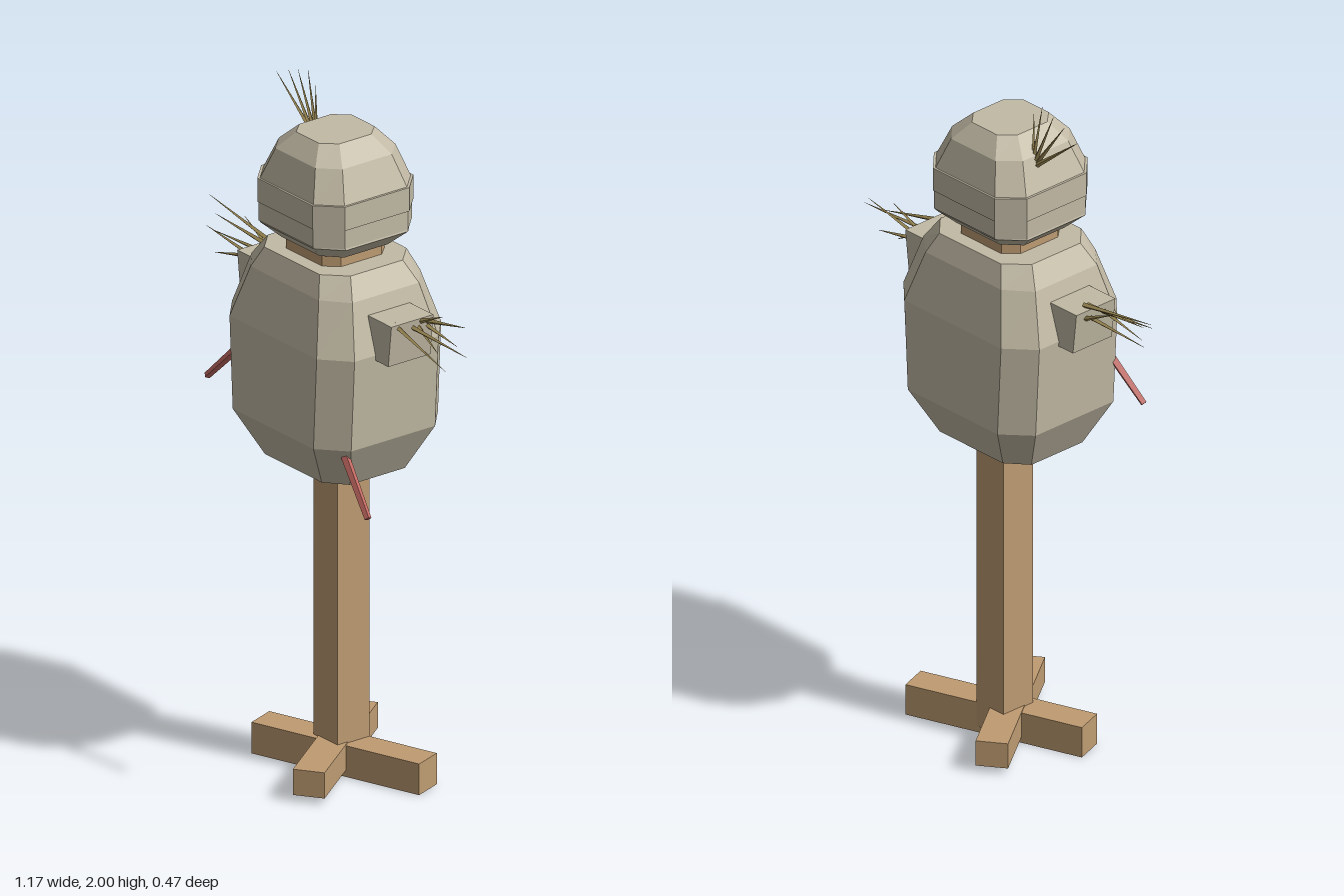
import * as THREE from 'three';

const mat = (name, color) => {
  const m = new THREE.MeshStandardMaterial({ color });
  m.name = name;
  m.flatShading = true;
  return m;
};

// Loft of chamfered rectangles: [y, halfX, halfZ, flatX, flatZ] per ring
function loft(rings) {
  const loops = rings.map(([y, hx, hz, fx, fz]) => [
    [fx, hz], [hx, fz], [hx, -fz], [fx, -hz], [-fx, -hz], [-hx, -fz], [-hx, fz], [-fx, hz],
  ].map(([x, z]) => [x, y, z]));
  const pos = [];
  const tri = (...p) => p.forEach(v => pos.push(...v));
  for (let r = 0; r < loops.length - 1; r++) {
    for (let i = 0; i < 8; i++) {
      const j = (i + 1) % 8, a = loops[r], b = loops[r + 1];
      tri(a[i], a[j], b[j]);
      tri(a[i], b[j], b[i]);
    }
  }
  const low = loops[0], top = loops[loops.length - 1];
  for (let i = 1; i < 7; i++) {
    tri(low[0], low[i + 1], low[i]);
    tri(top[0], top[i], top[i + 1]);
  }
  const g = new THREE.BufferGeometry();
  g.setAttribute('position', new THREE.Float32BufferAttribute(pos, 3));
  g.computeVertexNormals();
  return g;
}

export function createModel() {
  const root = new THREE.Group();
  root.name = 'scarecrowDummy';
  const sack = mat('sackcloth', 0xc2baa5);
  const wood = mat('wood', 0xbf9c72);
  const straw = mat('straw', 0xa8935a);
  const red = mat('redWood', 0xc46a64);

  const add = (name, geo, material, parent = root) => {
    const m = new THREE.Mesh(geo, material);
    m.name = name;
    parent.add(m);
    return m;
  };

  // Tapered stick between two points
  const stick = (name, from, to, r0, r1, sides, material, parent) => {
    const a = new THREE.Vector3(...from), b = new THREE.Vector3(...to);
    const dir = b.clone().sub(a);
    const m = add(name, new THREE.CylinderGeometry(r1, r0, dir.length(), sides), material, parent);
    m.position.copy(a).add(b).multiplyScalar(0.5);
    m.quaternion.setFromUnitVectors(new THREE.Vector3(0, 1, 0), dir.normalize());
  };

  // Post and crossed foot planks
  add('post', new THREE.BoxGeometry(0.107, 1.07, 0.11), wood).position.set(0.001, 0.555, -0.02);
  const plankA = add('footPlank', new THREE.BoxGeometry(0.54, 0.092, 0.09), wood);
  plankA.position.set(0.02, 0.047, -0.015);
  plankA.rotation.y = 0.34;
  const plankB = add('footPlank', new THREE.BoxGeometry(0.51, 0.076, 0.09), wood);
  plankB.position.set(0, 0.058, 0);
  plankB.rotation.y = -0.952;

  // Stuffed body
  add('body', loft([
    [0.925, 0.185, 0.145, 0.125, 0.095],
    [1.06, 0.255, 0.215, 0.178, 0.145],
    [1.33, 0.27, 0.215, 0.192, 0.145],
    [1.48, 0.222, 0.175, 0.15, 0.115],
    [1.54, 0.182, 0.15, 0.122, 0.09],
  ]), sack);

  // Neck and head
  add('neck', loft([
    [1.5, 0.115, 0.108, 0.08, 0.07],
    [1.6, 0.115, 0.108, 0.08, 0.07],
  ]), wood);
  add('head', loft([
    [1.575, 0.135, 0.12, 0.085, 0.075],
    [1.62, 0.183, 0.168, 0.118, 0.108],
    [1.635, 0.178, 0.168, 0.118, 0.108],
    [1.75, 0.178, 0.168, 0.118, 0.108],
    [1.84, 0.14, 0.138, 0.088, 0.085],
    [1.89, 0.088, 0.096, 0.05, 0.055],
  ]), sack);
  // Wrapped cloth strips around the head
  add('headBand', loft([
    [1.68, 0.185, 0.174, 0.122, 0.111],
    [1.75, 0.185, 0.174, 0.122, 0.111],
  ]), sack);
  add('lowerHeadBand', loft([
    [1.625, 0.182, 0.171, 0.12, 0.109],
    [1.68, 0.182, 0.171, 0.12, 0.109],
  ]), sack);

  // Arm stubs, tapering in toward the lower outer edge
  for (const s of [-1, 1]) {
    const g = new THREE.BoxGeometry(0.14, 0.122, 0.145);
    const p = g.attributes.position;
    for (let i = 0; i < p.count; i++) {
      if (p.getX(i) * s > 0 && p.getY(i) < 0) p.setX(i, p.getX(i) - 0.014 * s);
    }
    g.computeVertexNormals();
    add(s > 0 ? 'leftArm' : 'rightArm', g, sack).position.set(0.27 * s, 1.376, 0);
  }

  // Straw tufts: [base, tip] pairs
  const tufts = {
    leftHandStraw: [
      [[0.32, 1.42, -0.05], [0.51, 1.46, -0.05]],
      [[0.32, 1.42, -0.03], [0.43, 1.47, -0.033]],
      [[0.32, 1.415, -0.005], [0.575, 1.405, -0.005]],
      [[0.32, 1.43, 0.045], [0.55, 1.37, 0.05]],
      [[0.32, 1.41, -0.055], [0.46, 1.385, -0.06]],
      [[0.32, 1.42, -0.025], [0.42, 1.36, -0.025]],
    ],
    rightHandStraw: [
      [[-0.32, 1.445, -0.025], [-0.59, 1.49, -0.028]],
      [[-0.32, 1.44, -0.01], [-0.54, 1.455, -0.01]],
      [[-0.32, 1.41, -0.015], [-0.55, 1.40, -0.016]],
      [[-0.32, 1.41, 0.03], [-0.53, 1.435, 0.03]],
      [[-0.32, 1.415, 0.035], [-0.48, 1.375, 0.04]],
      [[-0.32, 1.405, -0.035], [-0.45, 1.47, -0.04]],
    ],
    headStraw: [
      [[-0.125, 1.80, -0.035], [-0.165, 2.0, -0.035]],
      [[-0.13, 1.80, -0.038], [-0.21, 1.985, -0.036]],
      [[-0.13, 1.80, -0.035], [-0.255, 1.97, -0.038]],
      [[-0.13, 1.80, -0.04], [-0.31, 1.945, -0.04]],
      [[-0.125, 1.80, -0.032], [-0.13, 1.965, -0.034]],
    ],
  };
  for (const [name, list] of Object.entries(tufts)) {
    const group = new THREE.Group();
    group.name = name;
    root.add(group);
    list.forEach(([a, b]) => stick('strawBlade', a, b, 0.008, 0.0005, 4, straw, group));
  }

  // Red pegs stuck in the lower body
  stick('rightPeg', [-0.21, 1.235, 0.138], [-0.355, 1.085, 0.165], 0.013, 0.01, 4, red);
  stick('leftPeg', [0.205, 1.055, 0.138], [0.355, 0.9, 0.165], 0.013, 0.01, 4, red);

  return root;
}
